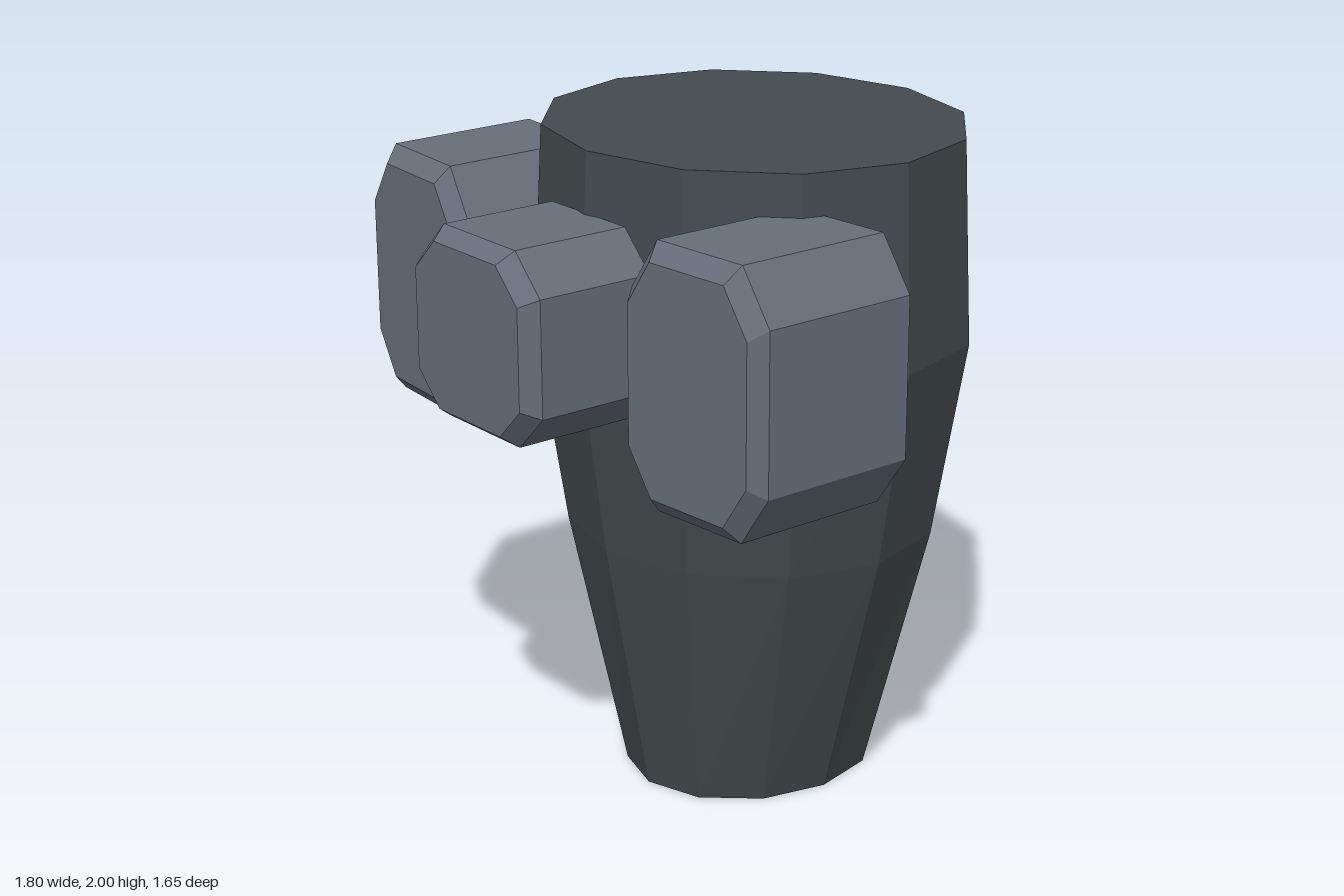
import * as THREE from 'three';

const flat = (name, color) => {
  const m = new THREE.MeshStandardMaterial({ color });
  m.name = name;
  m.flatShading = true;
  return m;
};

// Closed solid lofted through rings of points, listed counter-clockwise from the front, back ring first
function loft(rings) {
  const pos = [];
  const tri = (...pts) => pts.forEach((p) => pos.push(p.x, p.y, p.z));
  const n = rings[0].length;
  for (let r = 0; r < rings.length - 1; r++) {
    for (let i = 0; i < n; i++) {
      const j = (i + 1) % n, a = rings[r], b = rings[r + 1];
      tri(a[i], a[j], b[j]);
      tri(a[i], b[j], b[i]);
    }
  }
  const back = rings[0], front = rings[rings.length - 1];
  for (let i = 1; i < n - 1; i++) {
    tri(back[0], back[i + 1], back[i]);
    tri(front[0], front[i], front[i + 1]);
  }
  const g = new THREE.BufferGeometry();
  g.setAttribute('position', new THREE.Float32BufferAttribute(pos, 3));
  g.computeVertexNormals();
  return g;
}

// Chamfered octagonal block with a bevelled front; skew slants its depth across x
function blockGeometry({ cx, cy, w, h, chamferX, chamferY, zBack, zBevel, zFront, skew = 0 }) {
  const x = w / 2, y = h / 2, u = x - chamferX, v = y - chamferY;
  const outline = [[x, -v], [x, v], [u, y], [-u, y], [-x, v], [-x, -v], [-u, -y], [u, -y]];
  const ring = (z, s) => outline.map(([px, py]) =>
    new THREE.Vector3(cx + px * s, cy + py * s, z + skew * px * s));
  return loft([ring(zBack, 1), ring(zBevel, 1), ring(zFront, 0.87)]);
}

export function createModel() {
  const group = new THREE.Group();
  const bodyMat = flat('dark slate', 0x434a4d);
  const blockMat = flat('blue grey', 0x666e79);
  const add = (name, geometry, material) => {
    const mesh = new THREE.Mesh(geometry, material);
    mesh.name = name;
    group.add(mesh);
    return mesh;
  };

  // Tapered twelve-sided body: [height, x radius, z radius]
  const sections = [[0, 0.35, 0.4], [0.8, 0.57, 0.55], [1.4, 0.675, 0.635], [2, 0.65, 0.6]];
  const rings = sections.map(([y, rx, rz]) => Array.from({ length: 12 }, (_, i) => {
    const a = (i / 12) * Math.PI * 2;
    return new THREE.Vector3(rx * Math.sin(a), y, -0.187 + rz * Math.cos(a));
  }));
  add('body', loft(rings), bodyMat);

  // Middle block on the front
  add('middleBlock', blockGeometry({
    cx: 0, cy: 1.543, w: 0.556, h: 0.556, chamferX: 0.11, chamferY: 0.11,
    zBack: 0.41, zBevel: 0.775, zFront: 0.825,
  }), blockMat);

  // Taller blocks on either side, slanting back outward
  for (const side of [1, -1]) {
    add(side > 0 ? 'leftBlock' : 'rightBlock', blockGeometry({
      cx: side * 0.64, cy: 1.5, w: 0.52, h: 0.76, chamferX: 0.1, chamferY: 0.15,
      zBack: 0.05, zBevel: 0.53, zFront: 0.575, skew: -side * 0.075,
    }), blockMat);
  }
  return group;
}
